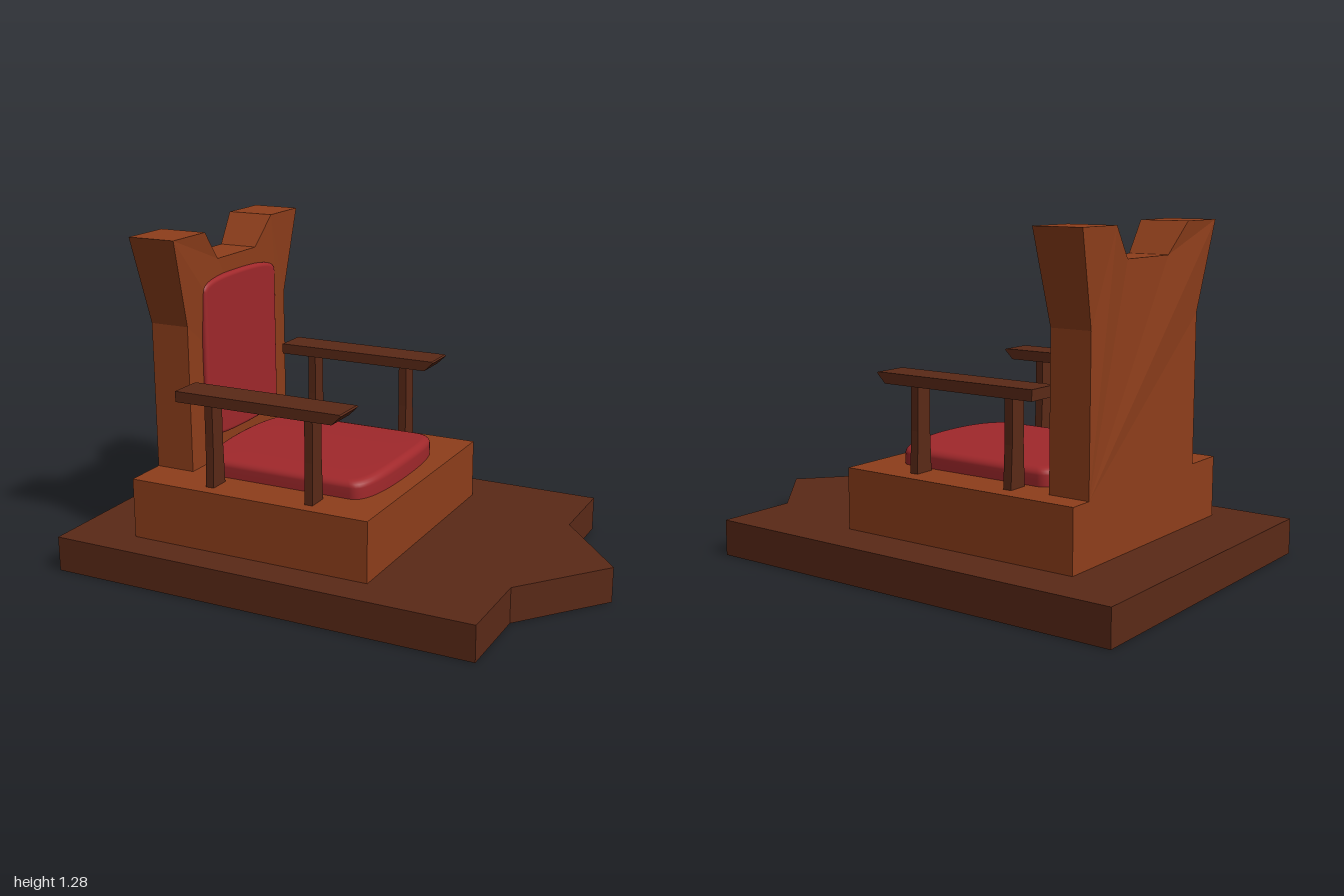
import * as THREE from 'three';

const DARK = 0x5a2917, BROWN = 0x8e3e1b, RED = 0xa0282b;

function part(name, geometry, color, smooth = false) {
  const material = new THREE.MeshStandardMaterial({ color, flatShading: !smooth });
  if (smooth) material.side = THREE.DoubleSide;
  const mesh = new THREE.Mesh(geometry, material);
  mesh.name = name;
  return mesh;
}

const extrude = (points, depth) => new THREE.ExtrudeGeometry(
  new THREE.Shape(points.map(([x, y]) => new THREE.Vector2(x, y))),
  { depth, bevelEnabled: false });

// Extrudes a (z, y) profile along x, from x0 to x1
function extrudeX(points, x0, x1) {
  const g = extrude(points.map(([z, y]) => [-z, y]), x1 - x0);
  return g.rotateY(Math.PI / 2).translate(x0, 0, 0);
}

// Padded cushion: straight long sides, bowed ends (bow), rolled rim and crowned top.
// Length runs along x, width along z, thickness along y.
function cushion(length, width, height, bow, roll, crown) {
  const b = length / 2, a = width / 2;
  const corner = new THREE.CubicBezierCurve(
    new THREE.Vector2(b - bow, a), new THREE.Vector2(b - bow * 0.25, a),
    new THREE.Vector2(b, a * 0.65), new THREE.Vector2(b, 0)).getPoints(14);
  const mirrored = corner.slice(0, -1).reverse();
  const half = [...corner.map(p => [p.x, p.y]), ...mirrored.map(p => [p.x, -p.y])];
  const outline = [...half, ...half.map(([x, z]) => [-x, -z])];
  // [inset, height] of each ring, from the bottom edge up and in to the middle
  const rings = [[0, 0], [0, (height - roll) / 2]];
  for (let i = 0; i <= 6; i++) {
    const t = i / 6 * Math.PI / 2;
    rings.push([roll * (1 - Math.cos(t)), height - roll + roll * Math.sin(t)]);
  }
  for (const f of [0.25, 0.45, 0.7, 0.9, 1]) rings.push([roll + (a - roll) * f, height]);
  const pos = [], idx = [], n = outline.length;
  rings.forEach(([inset, h]) => outline.forEach(([x, z]) => {
    const k = inset / a;
    const px = x * (1 - Math.max(k * k, inset / b)), pz = z * (1 - k);
    pos.push(px, h - crown * (pz / a) ** 2 * (h / height), pz);
  }));
  for (let r = 0; r < rings.length - 1; r++) {
    for (let i = 0; i < n; i++) {
      const p = r * n + i, q = r * n + (i + 1) % n;
      idx.push(p, p + n, q, q, p + n, q + n);
    }
  }
  // Close the remaining middle line
  const last = (rings.length - 1) * n;
  for (let i = 1; i < n - 1; i++) idx.push(last, last + i + 1, last + i);
  const g = new THREE.BufferGeometry();
  g.setAttribute('position', new THREE.Float32BufferAttribute(pos, 3));
  // Outline runs clockwise seen from above, so flip the winding to face outward
  for (let i = 0; i < idx.length; i += 3) [idx[i + 1], idx[i + 2]] = [idx[i + 2], idx[i + 1]];
  g.setIndex(idx);
  g.computeVertexNormals();
  return g;
}

export function createModel() {
  const model = new THREE.Group();
  model.name = 'throne';

  // Plinth with an arrow-shaped front
  const plinth = extrude([[-1, -0.66], [0.725, -0.66], [0.725, -0.33], [1, 0],
    [0.725, 0.33], [0.725, 0.66], [-1, 0.66]], 0.138);
  model.add(part('plinth', plinth.rotateX(-Math.PI / 2), DARK));

  // Seat block
  const block = new THREE.BoxGeometry(0.993, 0.235, 0.995);
  model.add(part('seatBlock', block.translate(-0.2385, 0.2555, 0.0265), BROWN));

  // Backrest with two flared horns that also thicken toward the top
  const back = extrudeX([[0.353, 0.372], [-0.375, 0.372], [-0.375, 0.945], [-0.465, 1.285],
    [-0.255, 1.285], [-0.15, 1.168], [0.13, 1.168], [0.235, 1.285], [0.445, 1.285],
    [0.353, 0.945]].reverse(), -0.735, -0.575);
  const p = back.attributes.position;
  for (let i = 0; i < p.count; i++) {
    if (p.getY(i) > 1.2) p.setX(i, p.getX(i) < -0.65 ? -0.755 : -0.56);
  }
  back.computeVertexNormals();
  model.add(part('backrest', back, BROWN));

  // Cushions
  const seat = part('seatCushion', cushion(0.745, 0.655, 0.082, 0.085, 0.03, 0.014), RED, true);
  seat.position.set(-0.187, 0.371, 0.026);
  const backPad = part('backCushion', cushion(0.639, 0.53, 0.03, 0.045, 0.015, 0.002), RED, true);
  backPad.rotation.z = -Math.PI / 2;
  backPad.position.set(-0.583, 0.7875, -0.01);
  model.add(seat, backPad);

  // Armrests, each a bar with an undercut front end on two flared posts
  for (const [side, z] of [['left', 0.434], ['right', -0.3635]]) {
    const arm = new THREE.Group();
    arm.name = side + 'Armrest';
    arm.position.z = z;
    const bar = extrude([[-0.54, 0.698], [0.108, 0.698], [0.145, 0.734],
      [0.14, 0.739], [-0.54, 0.739]], 0.136);
    arm.add(part('armBar', bar.translate(0, 0, -0.068), DARK));
    for (const [name, x] of [['rearPost', -0.437], ['frontPost', -0.019]]) {
      const post = extrudeX([[-0.041, 0.371], [-0.034, 0.53], [-0.034, 0.7],
        [0.034, 0.7], [0.034, 0.53], [0.041, 0.371]], x, x + 0.033);
      arm.add(part(name, post, DARK));
    }
    model.add(arm);
  }
  return model;
}
